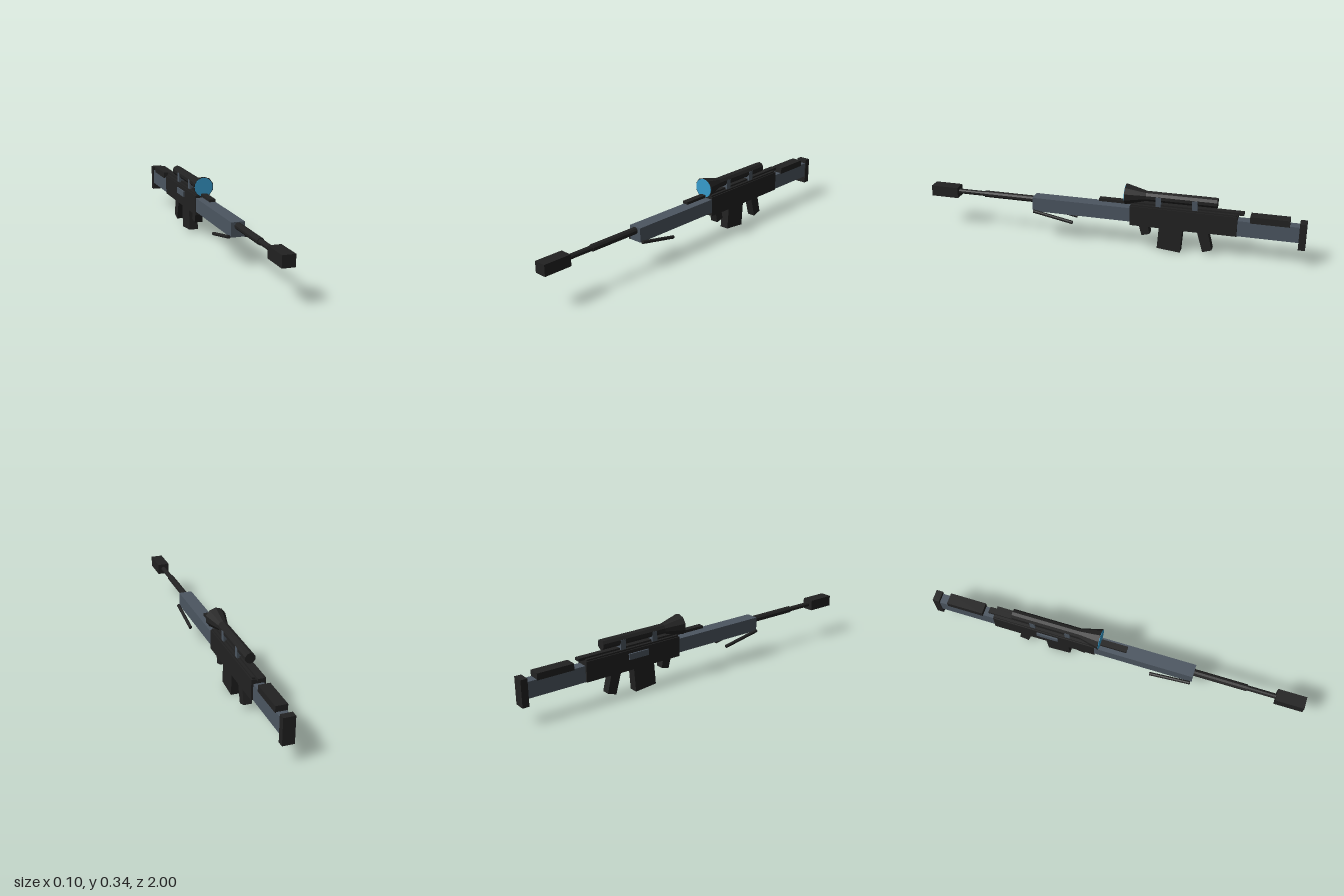
import * as THREE from 'three';

const mat = (name, color, flat = true) => {
  const m = new THREE.MeshStandardMaterial({ color });
  m.name = name;
  m.flatShading = flat;
  return m;
};

export function createModel() {
  const group = new THREE.Group();
  const black = mat('gunmetal black', 0x222222);
  const slate = mat('slate grey', 0x4c5661);
  const blue = mat('lens blue', 0x379dce);

  const add = (name, geometry, material) => {
    const mesh = new THREE.Mesh(geometry, material);
    mesh.name = name;
    group.add(mesh);
    return mesh;
  };
  // Box from its limits
  const box = (name, material, x0, x1, y0, y1, z0, z1) =>
    add(name, new THREE.BoxGeometry(x1 - x0, y1 - y0, z1 - z0), material)
      .position.set((x0 + x1) / 2, (y0 + y1) / 2, (z0 + z1) / 2);
  // Cylinder along z; rFront is at the larger z
  const tube = (name, material, rFront, rBack, y, zBack, zFront, sides) => {
    const g = new THREE.CylinderGeometry(rFront, rBack, zFront - zBack, sides).rotateX(Math.PI / 2);
    add(name, g, material).position.set(0, y, (zBack + zFront) / 2);
  };
  // Side profile of [z, y] points, extruded across x
  const profile = (name, material, halfWidth, points) => {
    const shape = new THREE.Shape(points.map(([z, y]) => new THREE.Vector2(-z, y)));
    const g = new THREE.ExtrudeGeometry(shape, { depth: 2 * halfWidth, bevelEnabled: false });
    g.translate(0, 0, -halfWidth).rotateY(Math.PI / 2);
    add(name, g, material);
  };

  // Barrel and muzzle
  box('muzzleBrake', black, -0.032, 0.032, 0.175, 0.233, 0.85, 1);
  tube('barrelFront', black, 0.0135, 0.0135, 0.205, 0.69, 0.86, 10);
  tube('barrelRear', black, 0.018, 0.018, 0.205, 0.41, 0.7, 10);

  // Body
  box('handguard', slate, -0.035, 0.035, 0.15, 0.225, -0.12, 0.42);
  box('receiver', black, -0.036, 0.036, 0.131, 0.236, -0.66, -0.108);
  box('receiverTop', black, -0.03, 0.03, 0.23, 0.244, -0.655, -0.112);
  box('topRail', black, -0.016, 0.016, 0.239, 0.253, -0.69, 0.06);
  box('ejectionPort', slate, -0.044, -0.034, 0.188, 0.219, -0.42, -0.305);

  // Stock
  box('stock', slate, -0.026, 0.026, 0.13, 0.213, -0.97, -0.65);
  box('cheekRest', black, -0.03, 0.03, 0.209, 0.243, -0.917, -0.722);
  box('buttPad', black, -0.03, 0.03, 0.092, 0.232, -1, -0.965);

  // Magazine, grips and trigger guard
  profile('magazine', black, 0.024, [[-0.262, 0.14], [-0.252, 0.012], [-0.374, 0], [-0.384, 0.14]]);
  profile('pistolGrip', black, 0.022, [[-0.455, 0.14], [-0.49, 0.017], [-0.538, 0.033], [-0.512, 0.14]]);
  profile('foreGrip', black, 0.022, [[-0.152, 0.14], [-0.17, 0.074], [-0.212, 0.086], [-0.201, 0.14]]);
  box('triggerGuard', black, -0.01, 0.01, 0.117, 0.124, -0.48, -0.37);

  // Scope
  tube('scopeTube', black, 0.027, 0.027, 0.288, -0.555, -0.18, 10);
  tube('scopeBell', black, 0.055, 0.027, 0.288, -0.19, -0.082, 10);
  tube('scopeLens', blue, 0.05, 0.05, 0.288, -0.084, -0.08, 20);
  for (const z of [-0.255, -0.443]) {
    box('scopeMount', slate, -0.027, 0.027, 0.242, 0.295, z - 0.014, z + 0.014);
  }

  // Folded bipod legs
  const top = new THREE.Vector3(0, 0.153, 0.413);
  const foot = new THREE.Vector3(0, 0.112, 0.197);
  const direction = top.clone().sub(foot);
  for (const side of [-1, 1]) {
    const leg = add('bipodLeg', new THREE.CylinderGeometry(0.009, 0.009, direction.length(), 10), black);
    leg.position.copy(top).add(foot).multiplyScalar(0.5).setX(side * 0.0435);
    leg.quaternion.setFromUnitVectors(new THREE.Vector3(0, 1, 0), direction.clone().normalize());
  }
  return group;
}
